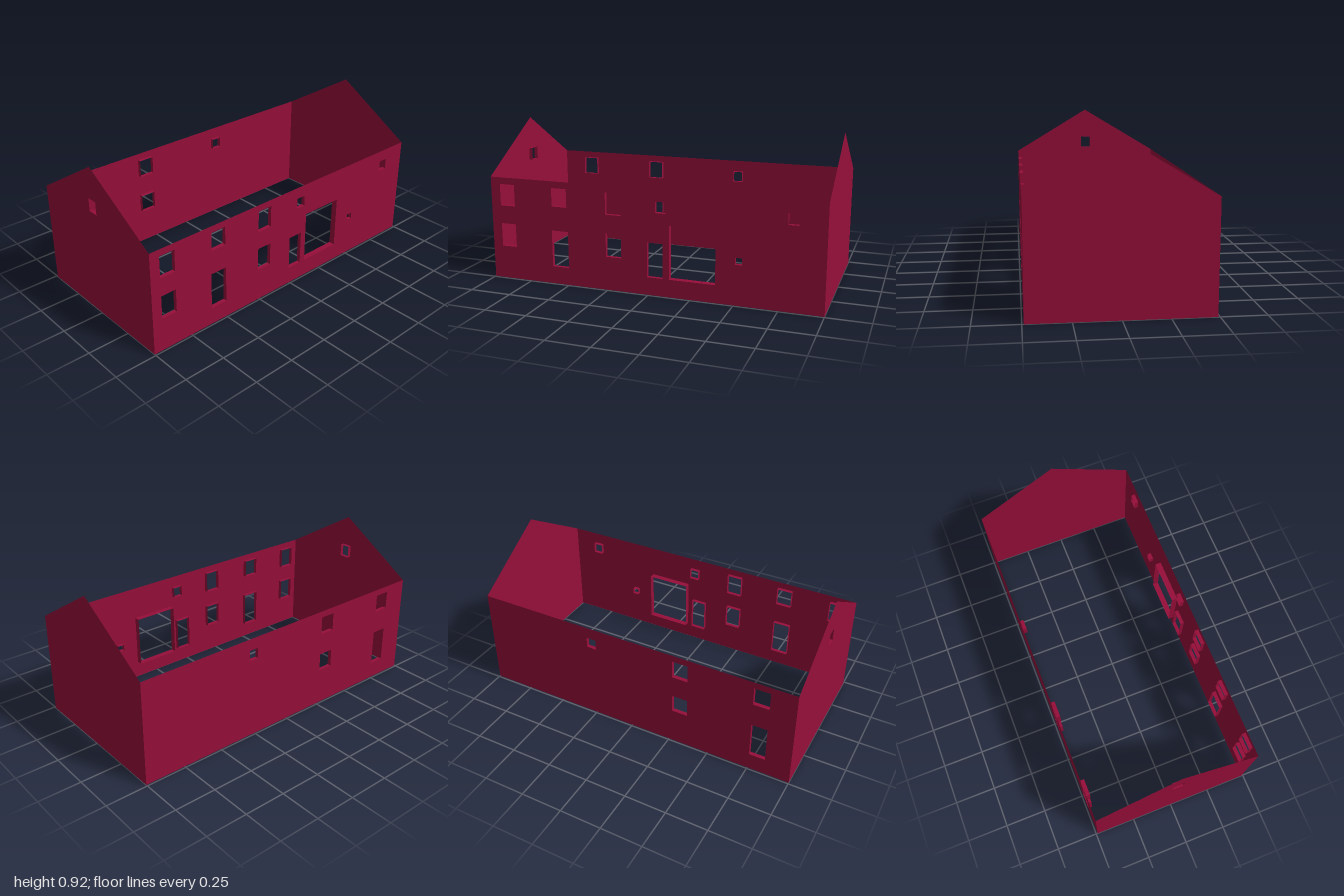
import * as THREE from 'three';
import { mergeGeometries } from 'three/addons/utils/BufferGeometryUtils.js';

const HALF_LENGTH = 1, HALF_DEPTH = 0.49, EAVES = 0.62, RIDGE = 0.915;

// Openings as [x0, x1, y0, y1, reveal depth], in each wall's own plane
const REVEAL = 0.023;
const frontOpenings = [
  [-0.94, -0.845, 0.45, 0.58], [-0.94, -0.845, 0.2, 0.34],
  [-0.6, -0.505, 0.47, 0.58], [-0.605, -0.5, 0.105, 0.325],
  [-0.26, -0.165, 0.45, 0.58], [-0.26, -0.165, 0.2, 0.34],
  [0.045, 0.105, 0.485, 0.55], [-0.007, 0.087, 0.105, 0.31],
  [0.125, 0.395, 0.105, 0.42, 0.036],
  [0.505, 0.545, 0.235, 0.275], [0.79, 0.85, 0.485, 0.55],
];
// The back wall is turned round, so its x runs the other way
const backOpenings = [
  [0.755, 0.85, 0.47, 0.58], [0.755, 0.85, 0.105, 0.325],
  [0.27, 0.365, 0.47, 0.58], [0.27, 0.365, 0.225, 0.335],
  [-0.29, -0.23, 0.485, 0.55],
];
const gableOpenings = [[-0.035, 0.03, 0.643, 0.72]];

const longOutline = [[-HALF_LENGTH, 0], [HALF_LENGTH, 0], [HALF_LENGTH, EAVES], [-HALF_LENGTH, EAVES]];
const gableOutline = [[-HALF_DEPTH, 0], [HALF_DEPTH, 0], [HALF_DEPTH, EAVES], [0, RIDGE], [-HALF_DEPTH, EAVES]];

const toPoints = (list) => list.map(([x, y]) => new THREE.Vector2(x, y));

// Four inward faces lining an opening: sill, head and two jambs
function revealGeometry([x0, x1, y0, y1, depth = REVEAL]) {
  const cx = (x0 + x1) / 2, cy = (y0 + y1) / 2, z = -depth / 2;
  return mergeGeometries([
    new THREE.PlaneGeometry(x1 - x0, depth).rotateX(-Math.PI / 2).translate(cx, y0, z),
    new THREE.PlaneGeometry(x1 - x0, depth).rotateX(Math.PI / 2).translate(cx, y1, z),
    new THREE.PlaneGeometry(depth, y1 - y0).rotateY(Math.PI / 2).translate(x0, cy, z),
    new THREE.PlaneGeometry(depth, y1 - y0).rotateY(-Math.PI / 2).translate(x1, cy, z),
  ]);
}

// A thin wall facing local +z, with its openings cut out and lined
function makeWall(name, outline, openings, material) {
  const wall = new THREE.Group();
  wall.name = name;
  const shape = new THREE.Shape(toPoints(outline));
  for (const [x0, x1, y0, y1] of openings) {
    shape.holes.push(new THREE.Path(toPoints([[x0, y0], [x0, y1], [x1, y1], [x1, y0]])));
  }
  const panel = new THREE.Mesh(new THREE.ShapeGeometry(shape), material);
  panel.name = name + 'Panel';
  wall.add(panel);
  if (openings.length) {
    const reveals = new THREE.Mesh(mergeGeometries(openings.map(revealGeometry)), material);
    reveals.name = name + 'Reveals';
    wall.add(reveals);
  }
  return wall;
}

export function createModel() {
  const model = new THREE.Group();
  model.name = 'houseShell';
  const wallRed = new THREE.MeshStandardMaterial({ color: 0x960e3a, side: THREE.DoubleSide });
  wallRed.name = 'wallRed';

  // Long walls
  const front = makeWall('frontWall', longOutline, frontOpenings, wallRed);
  front.position.z = HALF_DEPTH;
  const back = makeWall('backWall', longOutline, backOpenings, wallRed);
  back.position.z = -HALF_DEPTH;
  back.rotation.y = Math.PI;

  // Gable ends; only the one at -x has a window
  const windowGable = makeWall('windowGable', gableOutline, gableOpenings, wallRed);
  windowGable.position.x = -HALF_LENGTH;
  windowGable.rotation.y = -Math.PI / 2;
  const plainGable = makeWall('plainGable', gableOutline, [], wallRed);
  plainGable.position.x = HALF_LENGTH;
  plainGable.rotation.y = Math.PI / 2;

  model.add(front, back, windowGable, plainGable);
  return model;
}
